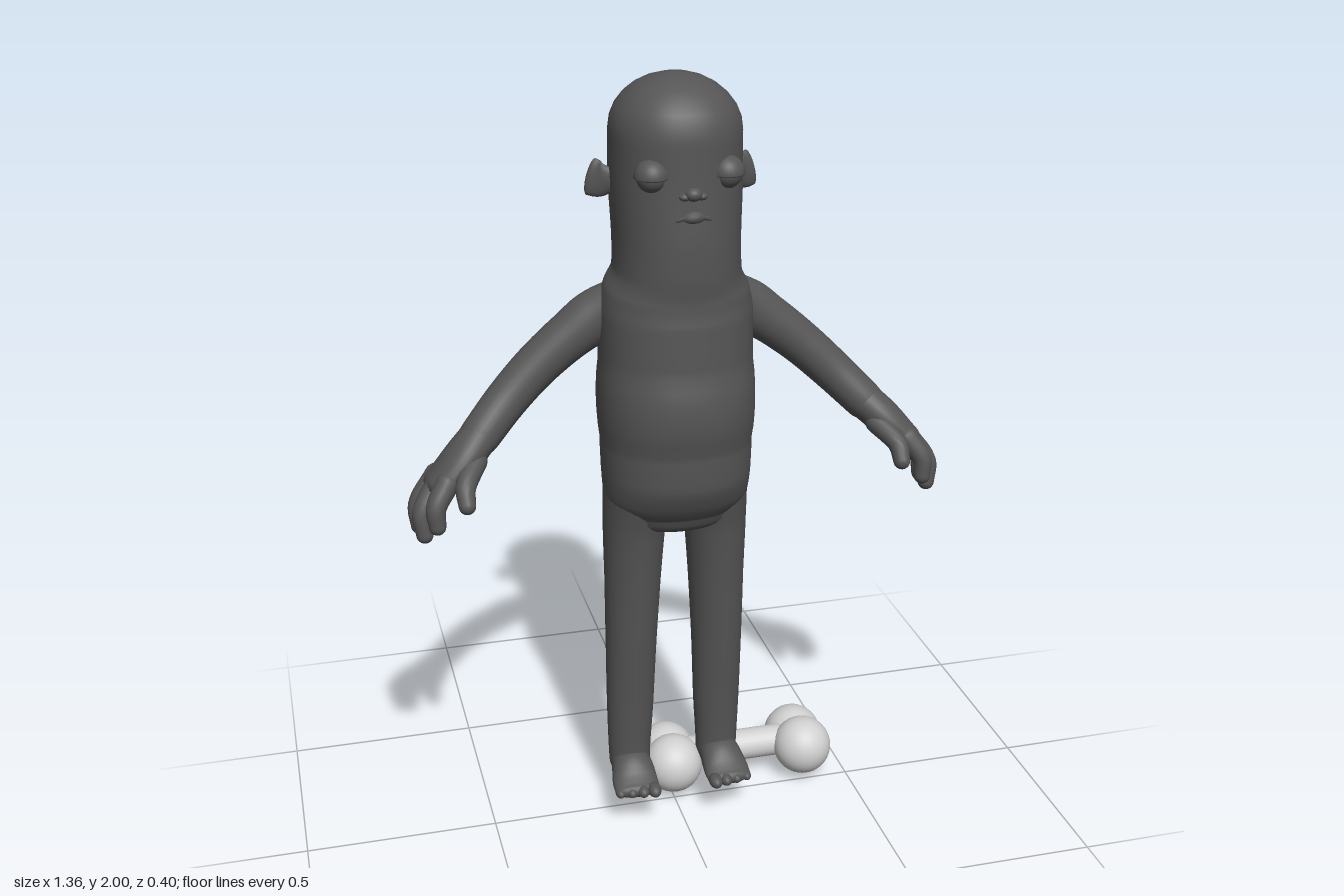
import * as THREE from 'three';

const V = (x, y, z) => new THREE.Vector3(x, y, z);

// Smooth closed sweep through points [x, y, z, radiusA, radiusB] with rounded ends.
function sweep(points, { ref = V(0, 0, 1), steps = 6, sides = 20, power = 2, caps = [] } = {}) {
  const path = new THREE.CatmullRomCurve3(points.map(p => V(p[0], p[1], p[2])));
  const radii = new THREE.CatmullRomCurve3(points.map(p => V(p[3], p[4] ?? p[3], 0)));
  const rings = [];
  const addRing = (t, scale, shift) => {
    const T = path.getTangent(t), r = radii.getPoint(t);
    const A = V(0, 0, 0).crossVectors(T, ref).normalize();
    const B = V(0, 0, 0).crossVectors(T, A);
    rings.push({ c: path.getPoint(t).addScaledVector(T, shift), A, B, a: r.x * scale, b: r.y * scale });
  };
  const endHeight = i => caps[i] ?? Math.min(...points[i ? points.length - 1 : 0].slice(3));
  const k = 7, n = (points.length - 1) * steps;
  for (let i = 0; i < k; i++) {
    const a = (1 - i / k) * Math.PI / 2;
    addRing(0, Math.max(Math.cos(a), 0.002), -Math.sin(a) * endHeight(0));
  }
  for (let i = 0; i <= n; i++) addRing(i / n, 1, 0);
  for (let i = 1; i <= k; i++) {
    const a = i / k * Math.PI / 2;
    addRing(1, Math.max(Math.cos(a), 0.002), Math.sin(a) * endHeight(1));
  }
  const pos = [], idx = [];
  const curve = v => Math.sign(v) * Math.abs(v) ** (2 / power);
  rings.forEach(({ c, A, B, a, b }, i) => {
    for (let j = 0; j < sides; j++) {
      const w = j / sides * Math.PI * 2;
      const p = c.clone().addScaledVector(A, a * curve(Math.cos(w))).addScaledVector(B, b * curve(Math.sin(w)));
      pos.push(p.x, p.y, p.z);
      if (i === rings.length - 1) continue;
      const q = i * sides + j, r = i * sides + (j + 1) % sides;
      idx.push(q, r, q + sides, r, r + sides, q + sides);
    }
  });
  const g = new THREE.BufferGeometry();
  g.setAttribute('position', new THREE.Float32BufferAttribute(pos, 3));
  g.setIndex(idx);
  g.computeVertexNormals();
  return g;
}

export function createModel() {
  const model = new THREE.Group();
  const skin = new THREE.MeshStandardMaterial({ color: 0x555555 });
  const bone = new THREE.MeshStandardMaterial({ color: 0xd0d0d0 });
  skin.name = 'dark grey skin';
  bone.name = 'pale bone';

  const add = (name, geometry, material = skin, position = [0, 0, 0], scale = [1, 1, 1]) => {
    const m = new THREE.Mesh(geometry, material);
    m.name = name;
    m.position.set(...position);
    m.scale.set(...scale);
    model.add(m);
    return m;
  };
  const ball = (r = 1) => new THREE.SphereGeometry(r, 28, 18);

  // Head and torso in one piece: height, half width, front z, back z
  const profile = [
    [1.87, 0.157, 0.172, -0.162], [1.75, 0.158, 0.175, -0.165], [1.62, 0.153, 0.182, -0.157],
    [1.54, 0.155, 0.18, -0.148], [1.49, 0.178, 0.175, -0.15], [1.43, 0.189, 0.18, -0.164],
    [1.3, 0.191, 0.185, -0.17], [1.1, 0.191, 0.187, -0.168], [1.01, 0.189, 0.182, -0.162],
    [0.95, 0.184, 0.155, -0.14], [0.91, 0.165, 0.125, -0.115]
  ];
  add('headAndTorso', sweep(profile.map(([y, rx, f, b]) => [0, y, (f + b) / 2, rx, (f - b) / 2]),
    { sides: 48, power: 2.2, caps: [0.13, 0.065] }));

  // Nose and mouth
  add('nose', ball(), skin, [0, 1.75, 0.176], [0.02, 0.016, 0.018]);
  add('mouth', sweep([[-0.045, 1.686, 0.169, 0.004], [-0.025, 1.695, 0.177, 0.006],
    [0.025, 1.695, 0.177, 0.006], [0.045, 1.686, 0.169, 0.004]], { sides: 10 }));

  for (const s of [1, -1]) {
    const side = s > 0 ? 'left' : 'right';
    const part = (name, pts, opt) => add(side + name, sweep(pts.map(([x, ...r]) => [x * s, ...r]), opt));

    // Face
    add(side + 'Eye', ball(0.036), skin, [s * 0.09, 1.787, 0.138]);
    const lid = new THREE.SphereGeometry(0.042, 28, 10, 0, Math.PI * 2, 0, Math.PI / 2);
    add(side + 'Eyelid', lid, skin, [s * 0.09, 1.787, 0.138]);
    add(side + 'EyelidRim', new THREE.TorusGeometry(0.038, 0.004, 8, 28).rotateX(Math.PI / 2), skin,
      [s * 0.09, 1.787, 0.138]);
    add(side + 'Nostril', ball(), skin, [s * 0.02, 1.744, 0.172], [0.014, 0.009, 0.012]);
    part('Ear', [[0.155, 1.75, -0.01, 0.032, 0.014], [0.178, 1.75, -0.02, 0.042, 0.012],
      [0.196, 1.755, -0.032, 0.045, 0.011]], { caps: [0.01, 0.012] });

    // Arm, palm, fingers and thumb
    part('Arm', [[0.12, 1.42, -0.03, 0.085], [0.19, 1.405, -0.038, 0.07, 0.062], [0.25, 1.367, -0.038, 0.061, 0.058],
      [0.34, 1.295, -0.033, 0.056], [0.42, 1.22, -0.015, 0.053], [0.495, 1.145, 0.02, 0.05, 0.052]], { sides: 28 });
    part('Palm', [[0.49, 1.15, 0.018, 0.047, 0.05], [0.545, 1.1, 0.043, 0.045, 0.065],
      [0.605, 1.045, 0.054, 0.034, 0.072]], { sides: 28 });
    const fingers = [
      [[0.59, 1.06, 0.1], [0.622, 1.01, 0.125], [0.622, 0.965, 0.132]],
      [[0.605, 1.05, 0.055], [0.652, 0.985, 0.085], [0.65, 0.93, 0.095]],
      [[0.605, 1.05, 0.01], [0.655, 0.98, 0.022], [0.656, 0.93, 0.036]],
      [[0.515, 1.1, 0.07], [0.55, 1.06, 0.135], [0.552, 1.025, 0.163]]
    ];
    fingers.forEach((f, i) => part(i < 3 ? 'Finger' + (i + 1) : 'Thumb',
      f.map((p, j) => [...p, [0.029, 0.025, 0.021][j]]), { sides: 16 }));

    // Leg
    part('Leg', [[0.1, 0.98, 0.005, 0.085, 0.12], [0.107, 0.86, 0, 0.08, 0.096], [0.112, 0.7, -0.003, 0.073, 0.08],
      [0.117, 0.5, -0.008, 0.067, 0.067], [0.12, 0.3, -0.015, 0.062, 0.056], [0.122, 0.19, -0.018, 0.057, 0.052],
      [0.122, 0.14, -0.018, 0.055, 0.052]], { sides: 28, caps: [0.02, 0.03] });

    // Foot with a flat sole
    const foot = part('Foot', [[0.122, 0.135, -0.035, 0.05, 0.045], [0.124, 0.14, 0.02, 0.055, 0.05],
      [0.127, 0.122, 0.07, 0.061, 0.032], [0.128, 0.115, 0.1, 0.06, 0.02]], { ref: V(0, 1, 0), sides: 28 });
    const p = foot.geometry.attributes.position;
    for (let i = 0; i < p.count; i++) p.setY(i, Math.max(p.getY(i), 0.1));
    foot.geometry.computeVertexNormals();
    for (let i = 0; i < 4; i++) {
      const r = 0.021 - i * 0.002;
      add(side + 'Toe' + (i + 1), ball(), skin, [s * (0.085 + i * 0.03), 0.1 + r * 0.85, 0.115 - i * 0.005],
        [r * 0.85, r * 0.85, r * 1.3]);
    }
  }

  // Bone lying behind the feet: a shaft with two knobs at each end
  add('boneShaft', new THREE.CylinderGeometry(0.043, 0.043, 0.37, 28).rotateZ(Math.PI / 2), bone, [0.19, 0.097, -0.075]);
  for (const x of [0.004, 0.378]) {
    add('boneKnobBack', ball(0.08), bone, [x, 0.085, -0.118]);
    add('boneKnobFront', ball(0.08), bone, [x, 0.098, -0.03]);
  }
  // Rest the lowest knobs on the ground
  model.position.y = -0.005;
  return model;
}
